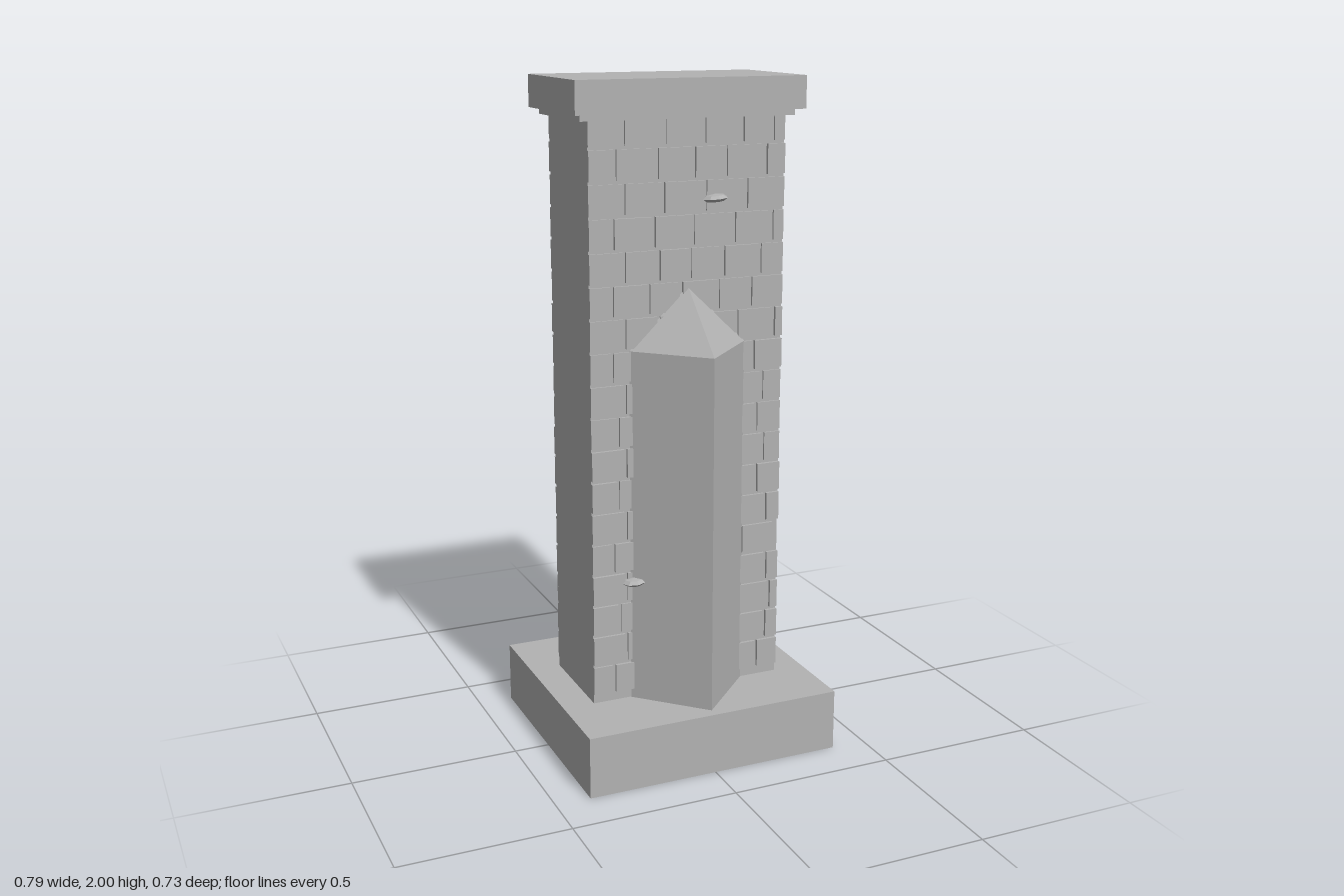
import * as THREE from 'three';

export function createModel() {
  const model = new THREE.Group();
  model.name = 'stonePillar';
  const stone = new THREE.MeshStandardMaterial({ color: 0xb2b2b2 });
  stone.name = 'greyStone';

  function add(name, geometry, x, y, z, parent = model) {
    const mesh = new THREE.Mesh(geometry, stone);
    mesh.name = name;
    mesh.position.set(x, y, z);
    parent.add(mesh);
    return mesh;
  }
  // Faceted copy of a geometry
  function faceted(geometry) {
    const flat = geometry.toNonIndexed();
    flat.computeVertexNormals();
    return flat;
  }
  // Box given by its size and the height of its underside
  const slab = (name, w, h, d, bottom) =>
    add(name, new THREE.BoxGeometry(w, h, d), 0, bottom + h / 2, 0);

  // Plinth, shaft and capping stones
  slab('base', 0.79, 0.185, 0.727, 0);
  slab('shaft', 0.6, 1.71, 0.3, 0.18);
  slab('capLip', 0.65, 0.018, 0.33, 1.889);
  slab('cap', 0.696, 0.093, 0.38, 1.907);

  // Diamond-plan buttresses with pyramid tops, front and back
  for (const side of [1, -1]) {
    const buttress = new THREE.Group();
    buttress.name = side > 0 ? 'frontButtress' : 'backButtress';
    buttress.position.z = side * 0.152;
    model.add(buttress);
    add('buttressShaft', faceted(new THREE.CylinderGeometry(0.181, 0.181, 1.065, 4, 1, true)),
      0, 0.7125, 0, buttress);
    add('buttressPoint', faceted(new THREE.ConeGeometry(0.181, 0.175, 4, 1, true)),
      0, 1.3325, 0, buttress);
  }

  // Small seeded generator for brick widths and depths
  let seed = 17;
  const random = () => (seed = (seed * 16807) % 2147483647) / 2147483647;

  // Brick courses on the two broad faces
  const pitch = 0.0945, gap = 0.009;
  for (const side of [1, -1]) {
    const bricks = new THREE.Group();
    bricks.name = side > 0 ? 'frontBricks' : 'backBricks';
    model.add(bricks);
    for (let row = 0; row < 18; row++) {
      const bottom = 0.213 + row * pitch;
      const height = Math.min(pitch - gap, 1.889 - bottom);
      let x = -0.3;
      let width = row % 2 ? 0.1 : 0.06 + random() * 0.02;
      while (x < 0.29) {
        const w = Math.min(width, 0.3 - x);
        const hidden = bottom < 1.2 && x > -0.17 && x + w < 0.17;
        const proud = 0.005 + random() * 0.005;
        if (!hidden && w > 0.012) {
          add('brick', new THREE.BoxGeometry(w, height, proud + 0.005),
            x + w / 2, bottom + height / 2, side * (0.1475 + proud / 2), bricks);
        }
        x += w + gap;
        width = 0.085 + random() * 0.04;
      }
    }
  }

  // Little flattened ledges growing out of the wall
  for (const [x, y, z] of [[0.08, 1.665, 0.158], [-0.172, 0.555, 0.158], [-0.02, 1.49, -0.158]]) {
    const ledge = add('wallLedge', faceted(new THREE.SphereGeometry(1, 8, 4)), x, y, z);
    ledge.scale.set(0.038, 0.012, 0.036);
    ledge.rotation.z = 0.08;
  }
  return model;
}
